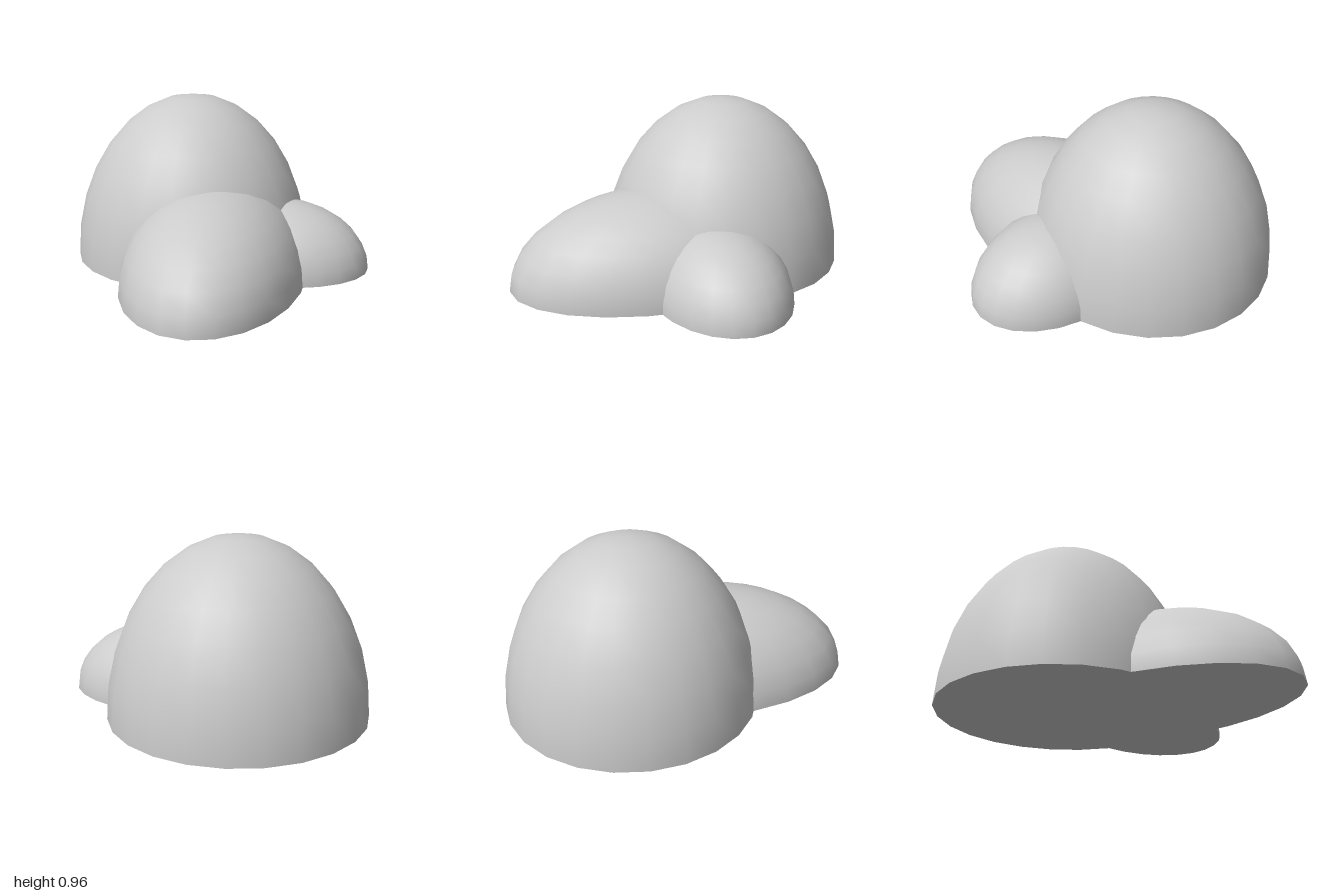
import * as THREE from 'three';

const material = new THREE.MeshStandardMaterial({ color: 0xcccccc });

// Half ellipsoid standing on y = 0, closed with a flat underside
function dome(name, [x, z], [rx, ry, rz]) {
  const group = new THREE.Group();
  group.name = name;
  const shell = new THREE.Mesh(
    new THREE.SphereGeometry(1, 24, 8, 0, Math.PI * 2, 0, Math.PI / 2).scale(rx, ry, rz), material);
  shell.name = name + 'Shell';
  const base = new THREE.Mesh(
    new THREE.CircleGeometry(1, 24).rotateX(Math.PI / 2).scale(rx, 1, rz), material);
  base.name = name + 'Underside';
  group.add(shell, base);
  group.position.set(x, 0, z);
  return group;
}

export function createModel() {
  const model = new THREE.Group();
  model.name = 'boulderCluster';
  model.add(
    dome('largeBoulder', [-0.18, -0.295], [0.70, 0.965, 0.705]),
    dome('frontBoulder', [0.02, 0.11], [0.515, 0.52, 0.89]),
    dome('sideBoulder', [0.35, -0.10], [0.53, 0.39, 0.39]),
  );
  return model;
}
